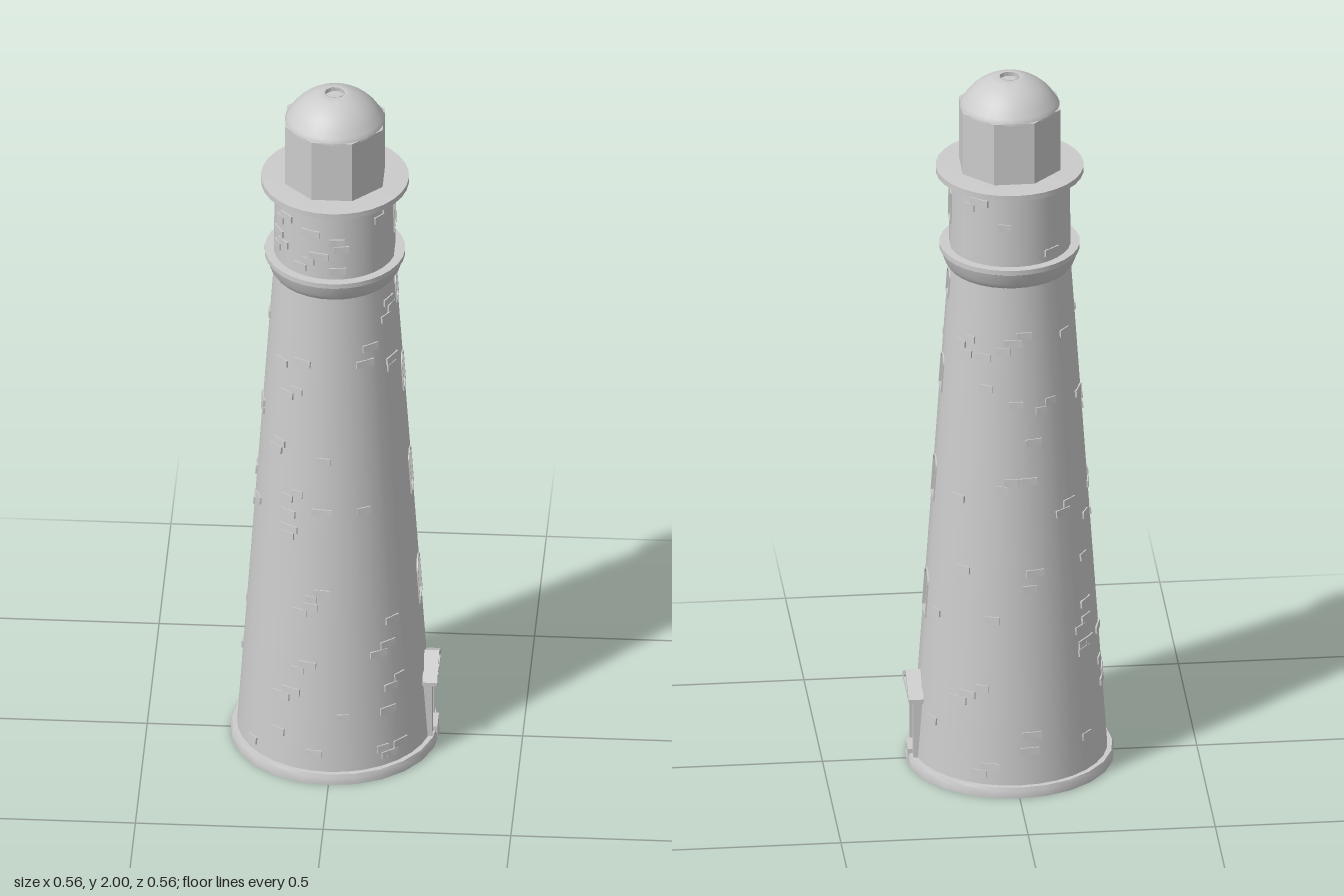
import * as THREE from 'three';
import { toCreasedNormals } from 'three/addons/utils/BufferGeometryUtils.js';

const H = Math.PI * 13 / 180; // half angle of the flat wall strip that holds the openings
const TOWER = { r0: 0.26, y0: 0.03, r1: 0.163, y1: 1.455 };
const DRUM = { r0: 0.163, y0: 1.51, r1: 0.16, y1: 1.725 };
const radiusAt = (w, y) => w.r0 + (w.r1 - w.r0) * (y - w.y0) / (w.y1 - w.y0);
const leanOf = (w) => Math.atan((w.r0 - w.r1) / (w.y1 - w.y0));

export function createModel() {
  const root = new THREE.Group();
  root.name = 'lighthouse';
  const grey = new THREE.MeshStandardMaterial({ color: 0xcccccc });
  const thin = new THREE.MeshStandardMaterial({ color: 0xcccccc, side: THREE.DoubleSide });
  const flat = new THREE.MeshStandardMaterial({ color: 0xcccccc, flatShading: true });

  const add = (parent, name, geo, mat = grey) => {
    const mesh = new THREE.Mesh(geo, mat);
    mesh.name = name;
    parent.add(mesh);
    return mesh;
  };
  const box = (parent, name, w, h, d, x, y, z) =>
    add(parent, name, new THREE.BoxGeometry(w, h, d)).position.set(x, y, z);
  const lathe = (name, pts, segs = 32) => add(root, name, toCreasedNormals(
    new THREE.LatheGeometry(pts.map(([r, y]) => new THREE.Vector2(r, y)), segs), 0.6));

  // Outline of an opening: w wide, h tall, bottom at y, optionally with an arched head
  const opening = (Type, w, h, y, arched) => {
    const s = new Type();
    const rise = arched ? w * 0.32 : 0;
    s.moveTo(-w / 2, y);
    s.lineTo(w / 2, y);
    s.lineTo(w / 2, y + h - rise);
    if (arched) s.absellipse(0, y + h - rise, w / 2, rise, 0, Math.PI, false, 0);
    else s.lineTo(-w / 2, y + h);
    s.closePath();
    return s;
  };

  // Round wall, closed on the +x side by a flat strip with holes
  const wall = (name, w, holes) => {
    const g = new THREE.Group();
    g.name = name;
    root.add(g);
    add(g, name + 'Shell', new THREE.LatheGeometry(
      [new THREE.Vector2(w.r0, w.y0), new THREE.Vector2(w.r1, w.y1)],
      30, Math.PI / 2 + H, Math.PI * 2 - 2 * H), thin);
    const a = w.r0 * Math.sin(H), b = w.r1 * Math.sin(H);
    const strip = new THREE.Shape([[-a, w.y0], [a, w.y0], [b, w.y1], [-b, w.y1]]
      .map(([x, y]) => new THREE.Vector2(x, y)));
    strip.holes = holes;
    const geo = new THREE.ShapeGeometry(strip, 8);
    const p = geo.attributes.position, n = geo.attributes.normal;
    const lean = leanOf(w);
    for (let i = 0; i < p.count; i++) {
      const u = p.getX(i), y = p.getY(i), r = radiusAt(w, y);
      const ang = Math.asin(u / r);
      p.setXYZ(i, r * Math.cos(H), y, -u);
      n.setXYZ(i, Math.cos(ang) * Math.cos(lean), Math.sin(lean), -Math.sin(ang) * Math.cos(lean));
    }
    add(g, name + 'WindowStrip', geo, thin);
  };

  // Windows: [wall, bottom, width, height, arched]
  const windows = [
    [TOWER, 0.43, 0.082, 0.125, true],
    [TOWER, 0.77, 0.070, 0.12, true],
    [TOWER, 1.09, 0.064, 0.10, true],
    [TOWER, 1.365, 0.058, 0.075, true],
    [DRUM, 1.585, 0.060, 0.09, false],
  ];
  const holesFor = (w) => windows.filter((v) => v[0] === w)
    .map(([, y, wd, h, arched]) => opening(THREE.Path, wd, h, y, arched));
  wall('tower', TOWER, [opening(THREE.Path, 0.07, 0.15, 0.04, false), ...holesFor(TOWER)]);
  wall('drum', DRUM, holesFor(DRUM));

  windows.forEach(([w, y, wd, h, arched]) => {
    const g = new THREE.Group();
    g.name = 'window';
    g.position.set(radiusAt(w, y) * Math.cos(H), y, 0);
    g.rotation.set(0, Math.PI / 2, leanOf(w), 'ZYX');
    root.add(g);
    const depth = 0.026, t = 0.005;
    const frame = opening(THREE.Shape, wd, h, 0, arched);
    frame.holes = [opening(THREE.Path, wd - 2 * t, h - 2 * t, t, arched)];
    add(g, 'windowFrame', new THREE.ExtrudeGeometry(frame,
      { depth, bevelEnabled: false, curveSegments: 8 })).position.z = 0.004 - depth;
    add(g, 'windowPane', new THREE.ShapeGeometry(opening(THREE.Shape, wd, h, 0, arched), 8), thin)
      .position.z = -0.02;
    // Glazing bars
    for (const s of [-1, 1])
      box(g, 'windowBar', 0.003, h * 0.93, 0.004, s * wd / 6, h * 0.47, -0.006);
    for (let i = 1; i < 4; i++)
      box(g, 'windowBar', wd - t, 0.003, 0.004, 0, h * i / 4, -0.006);
  });

  // Plinth, cornice and gallery
  lathe('plinth', [[0, 0], [0.278, 0], [0.278, 0.022], [0.274, 0.03], [0.25, 0.03]], 24);
  lathe('cornice', [[0.158, 1.445], [0.166, 1.455], [0.174, 1.468], [0.184, 1.498],
    [0.187, 1.5], [0.187, 1.514], [0.155, 1.514]]);
  lathe('gallery', [[0.155, 1.712], [0.168, 1.72], [0.197, 1.724], [0.197, 1.74], [0, 1.745]]);

  // Eight-sided lantern under a shallow dome with a vent
  add(root, 'lantern', new THREE.CylinderGeometry(0.141, 0.141, 0.178, 8, 1, false, Math.PI / 8), flat)
    .position.y = 1.831;
  const dome = [[0, 1.915], [0.133, 1.915], [0.133, 1.92]];
  for (let i = 1; i <= 8; i++) {
    const r = 0.133 - 0.103 * (i / 8) ** 1.3;
    dome.push([r, 1.858 + Math.sqrt(0.0211 - r * r)]);
  }
  lathe('dome', [...dome, [0.026, 1.999], [0.026, 1.988], [0, 1.988]]);
  add(root, 'ventRing', new THREE.CylinderGeometry(0.027, 0.027, 0.012, 8, 1, true, Math.PI / 8), thin)
    .position.y = 1.994;

  // Doorway with step, posts, panelled door and pediment
  const door = new THREE.Group();
  door.name = 'doorway';
  root.add(door);
  box(door, 'doorStep', 0.04, 0.035, 0.07, 0.255, 0.025, 0);
  box(door, 'doorLeaf', 0.012, 0.17, 0.076, 0.232, 0.115, 0);
  for (const s of [-1, 1]) {
    box(door, 'doorPost', 0.032, 0.175, 0.03, 0.247, 0.118, s * 0.05);
    box(door, 'doorStile', 0.006, 0.15, 0.007, 0.24, 0.115, s * 0.031);
    box(door, 'doorBar', 0.006, 0.15, 0.004, 0.24, 0.115, s * 0.011);
  }
  for (let i = 0; i < 4; i++)
    box(door, 'doorRail', 0.006, 0.006, 0.066, 0.24, 0.06 + i * 0.04, 0);
  box(door, 'lintel', 0.036, 0.018, 0.136, 0.247, 0.197, 0);
  const triangle = (Type, w, y0, y1, edge) => new Type([[-w, y0], [w, y0], [w, y0 + edge],
    [0, y1], [-w, y0 + edge]].map(([x, y]) => new THREE.Vector2(x, y)));
  const gable = triangle(THREE.Shape, 0.088, 0.203, 0.26, 0.009);
  gable.holes = [triangle(THREE.Path, 0.058, 0.212, 0.247, 0.0005)];
  const pediment = add(door, 'pediment',
    new THREE.ExtrudeGeometry(gable, { depth: 0.04, bevelEnabled: false }));
  pediment.rotation.y = Math.PI / 2;
  pediment.position.x = 0.238;
  box(door, 'pedimentPanel', 0.012, 0.034, 0.02, 0.262, 0.228, 0);
  const back = add(door, 'pedimentBack',
    new THREE.ShapeGeometry(triangle(THREE.Shape, 0.07, 0.206, 0.252, 0.004)), thin);
  back.rotation.y = Math.PI / 2;
  back.position.x = 0.268;

  // Raised bricks scattered over the walls, in courses
  let seed = 7;
  const rand = () => (seed = (seed * 16807) % 2147483647) / 2147483647;
  const bricks = new THREE.Group();
  bricks.name = 'raisedBricks';
  root.add(bricks);
  const brick = (w, angle, y) => {
    const pivot = new THREE.Group();
    pivot.rotation.y = angle;
    const r = radiusAt(w, y);
    const m = add(pivot, 'brick', new THREE.BoxGeometry(0.01, 0.02, 0.03 + rand() * 0.025));
    m.position.set(r - 0.002, y, 0);
    m.rotation.z = leanOf(w);
    bricks.add(pivot);
  };
  for (let i = 0; i < 90; i++) {
    const w = i < 76 ? TOWER : DRUM;
    const course = Math.floor(rand() * (w.y1 - w.y0 - 0.06) / 0.022);
    const y = w.y0 + 0.03 + course * 0.022;
    const angle = 0.45 + rand() * (Math.PI * 2 - 0.9);
    brick(w, angle, y);
    // Some have a neighbour in the next course
    if (rand() < 0.35 && y < w.y1 - 0.05) brick(w, angle + 0.03 / radiusAt(w, y), y + 0.021);
  }
  return root;
}
